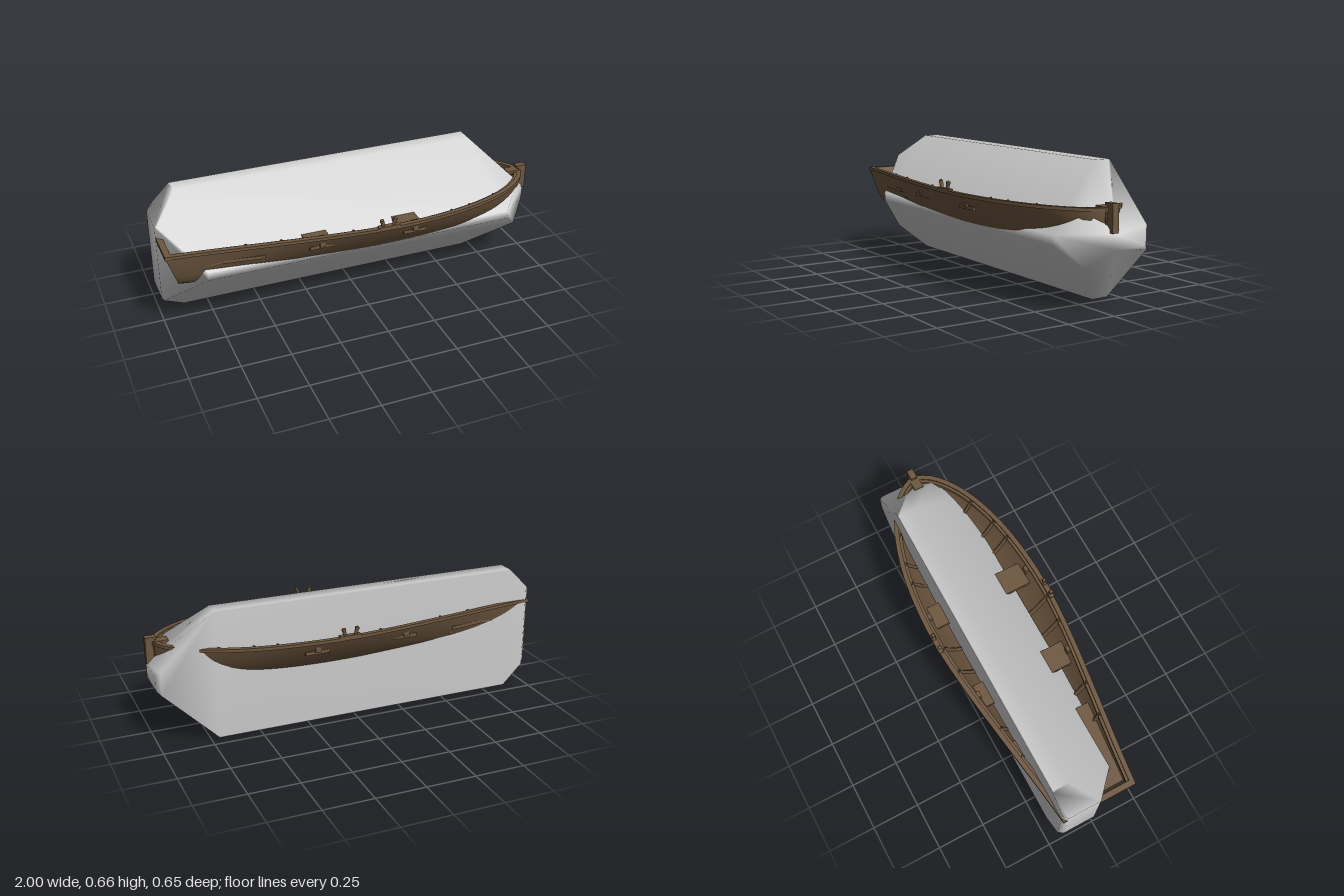
import * as THREE from 'three';
import { mergeVertices } from 'three/addons/utils/BufferGeometryUtils.js';
import { ConvexGeometry } from 'three/addons/geometries/ConvexGeometry.js';

const TOP = 0.477; // rail height

// Stations of the boat from stern to bow: x, half beam, keel height
const plan = new THREE.CatmullRomCurve3([
  [-1, 0.192, 0.262], [-0.8, 0.217, 0.25], [-0.5, 0.26, 0.242], [-0.2, 0.3, 0.238],
  [0.05, 0.321, 0.236], [0.25, 0.319, 0.238], [0.45, 0.298, 0.243], [0.6, 0.265, 0.255],
  [0.75, 0.212, 0.285], [0.86, 0.147, 0.32], [0.93, 0.08, 0.355], [0.965, 0.014, 0.38],
].map((p) => new THREE.Vector3(...p)));
const stations = plan.getSpacedPoints(48);

function stationAt(x) {
  let i = 1;
  while (i < stations.length - 1 && stations[i].x < x) i++;
  const a = stations[i - 1], b = stations[i];
  return a.clone().lerp(b, (x - a.x) / (b.x - a.x));
}

// Points of one hull cross-section, from right rail to left rail
function section({ x, y: beam, z: keel }, inset = 0) {
  const half = Math.max(beam - inset, 0.003), low = keel + inset;
  const power = 1 / Math.max(0.16, 0.41 - 0.25 * (x - 0.1) ** 2);
  const rake = 0.33 * THREE.MathUtils.clamp((-0.6 - x) / 0.4, 0, 1);
  const pts = [];
  for (let j = -14; j <= 14; j++) {
    const s = Math.sin((j / 14) * Math.PI / 2);
    const y = low + (TOP - low) * Math.abs(s) ** power;
    pts.push(new THREE.Vector3(x + rake * (TOP - y), y, half * s));
  }
  return pts;
}

// Skin a list of equal-length point rows
function loft(rows, closed = false, flat = false) {
  const n = rows[0].length, index = [];
  for (let i = 0; i < rows.length - 1; i++) {
    for (let j = 0; j < (closed ? n : n - 1); j++) {
      const k = (j + 1) % n, a = i * n, b = a + n;
      index.push(a + j, b + j, a + k, a + k, b + j, b + k);
    }
  }
  let g = new THREE.BufferGeometry().setFromPoints(rows.flat());
  g.setIndex(index);
  if (flat) g = g.toNonIndexed();
  g.computeVertexNormals();
  return g;
}

// Rail strip following the plan on one side
function railRows(side, outer, inner, low, high) {
  return stations.map((p, i) => {
    const a = stations[Math.max(i - 1, 0)], b = stations[Math.min(i + 1, stations.length - 1)];
    const t = new THREE.Vector2(b.x - a.x, b.y - a.y).normalize();
    const at = (d, y) => new THREE.Vector3(p.x - t.y * d, y, side * Math.max(0, p.y + t.x * d));
    const loop = [at(outer, low), at(outer, high), at(-inner, high), at(-inner, low)];
    return side > 0 ? loop : loop.reverse();
  });
}

// Convex block bounded by planes n.p <= d
function blockGeometry() {
  const planes = [
    [1, 0, 0, 1], [-1, 0, 0, 1], [0, 1, 0, 0.657], [0, -1, 0, 0], [0, 0, 1, 0.197], [0, 0, -1, 0.197],
    [1, 1, 0, 1.365], [1, -1, 0, 0.705], [-1, 1, 0, 1.53], [-1, -1, 0, 0.87],
    [1, 0, 1, 1], [1, 0, -1, 1.175], [-1, 0, 1, 1], [-1, 0, -1, 1.175],
    [0, 1, 1, 0.547], [0, -1, 1, -0.11], [0, 1, -1, 0.848], [0, -1, -1, 0.191],
  ].map(([x, y, z, d]) => ({ n: new THREE.Vector3(x, y, z), d }));
  const pts = [];
  for (let i = 0; i < planes.length; i++) for (let j = 0; j < i; j++) for (let k = 0; k < j; k++) {
    const [a, b, c] = [planes[i], planes[j], planes[k]];
    const bc = b.n.clone().cross(c.n), det = a.n.dot(bc);
    if (Math.abs(det) < 1e-6) continue;
    const p = bc.multiplyScalar(a.d)
      .addScaledVector(c.n.clone().cross(a.n), b.d)
      .addScaledVector(a.n.clone().cross(b.n), c.d).divideScalar(det);
    if (planes.every((q) => q.n.dot(p) < q.d + 1e-6) && !pts.some((q) => q.distanceTo(p) < 1e-3)) pts.push(p);
  }
  let g = new ConvexGeometry(pts);
  g.deleteAttribute('normal');
  g = mergeVertices(g, 1e-4);
  g.computeVertexNormals();
  return g;
}

export function createModel() {
  const wood = new THREE.MeshStandardMaterial({ color: 0x6e573f, side: THREE.DoubleSide });
  wood.name = 'brown wood';
  const grey = new THREE.MeshStandardMaterial({ color: 0xcccccc });
  grey.name = 'light grey';
  const model = new THREE.Group();
  const boat = new THREE.Group();
  boat.name = 'boat';
  model.add(boat);
  const add = (name, geometry, x = 0, y = 0, z = 0) => {
    const m = new THREE.Mesh(geometry, wood);
    m.name = name;
    m.position.set(x, y, z);
    boat.add(m);
    return m;
  };
  const box = (name, w, h, d, x, y, z) => add(name, new THREE.BoxGeometry(w, h, d), x, y, z);

  const block = new THREE.Mesh(blockGeometry(), grey);
  block.name = 'block';
  model.add(block);

  // Hull skins
  add('outerHull', loft(stations.map((p) => section(p))));
  add('innerHull', loft(stations.map((p) => section(p, 0.016))));

  // Raked transom with its top rail
  for (const [name, dx] of [['transomOutside', 0], ['transomInside', 0.03]]) {
    const edge = section(stations[0]).map((p) => p.setX(p.x + dx));
    const top = edge.map((p) => new THREE.Vector3(-1 + dx, TOP, p.z));
    add(name, loft([edge, top]));
  }
  box('transomRail', 0.03, 0.02, 0.39, -0.984, TOP - 0.01, 0);

  for (const side of [-1, 1]) {
    // Gunwale and inner stringer
    add('gunwale', loft(railRows(side, 0.004, 0.02, 0.462, TOP + 0.001), true, true));
    add('innerRail', loft(railRows(side, -0.02, 0.034, 0.45, TOP - 0.007), true, true));

    // Rowlocks
    const z = side * 0.314;
    box('rowlockBase', 0.11, 0.01, 0.026, 0.075, 0.481, z);
    for (const [x, lean] of [[0.042, 0.25], [0.104, -0.25]]) {
      add('rowlockPin', new THREE.CylinderGeometry(0.011, 0.008, 0.04, 8), x, 0.5, z).rotation.z = lean;
      add('rowlockTip', new THREE.SphereGeometry(0.011, 8, 6), x - lean * 0.018, 0.514, z);
    }

    // Stem bolts
    for (const y of [0.435, 0.453, 0.471]) {
      add('stemBolt', new THREE.SphereGeometry(0.004, 8, 6), 0.962, y, side * 0.025);
    }
  }

  // Ribs
  for (const x of [-0.62, -0.45, -0.1, 0.04, 0.43, 0.54, 0.7]) {
    const path = new THREE.CatmullRomCurve3(section(stationAt(x), 0.02));
    add('rib', new THREE.TubeGeometry(path, 40, 0.011, 4));
  }

  // Thwarts, with a rib plate at each end
  for (const [x, half] of [[-0.25, 0.262], [0.23, 0.287]]) {
    box('thwart', 0.125, 0.018, half * 2, x, 0.407, 0);
    for (const side of [-1, 1]) box('thwartKnee', 0.03, 0.05, 0.03, x, 0.436, side * (half - 0.005));
  }

  // Stern bench following the hull sides
  const bench = [-0.95, -0.8, -0.65, -0.53].map((x) => {
    const h = stationAt(x).y - 0.022;
    return [[0.405, -h], [0.405, h], [0.388, h], [0.388, -h]].map(([y, z]) => new THREE.Vector3(x, y, z));
  });
  add('sternBench', loft(bench, true, true));
  box('sternBenchFront', 0.012, 0.05, 0.42, -0.532, 0.38, 0);

  // Stem post and its knee
  box('stemPost', 0.044, 0.125, 0.034, 0.978, 0.4305, 0);
  box('stemCap', 0.055, 0.012, 0.034, 0.9725, 0.494, 0);
  box('stemPlate', 0.022, 0.075, 0.05, 0.951, 0.44, 0);
  box('bowKnee', 0.07, 0.016, 0.05, 0.925, 0.472, 0);
  return model;
}
